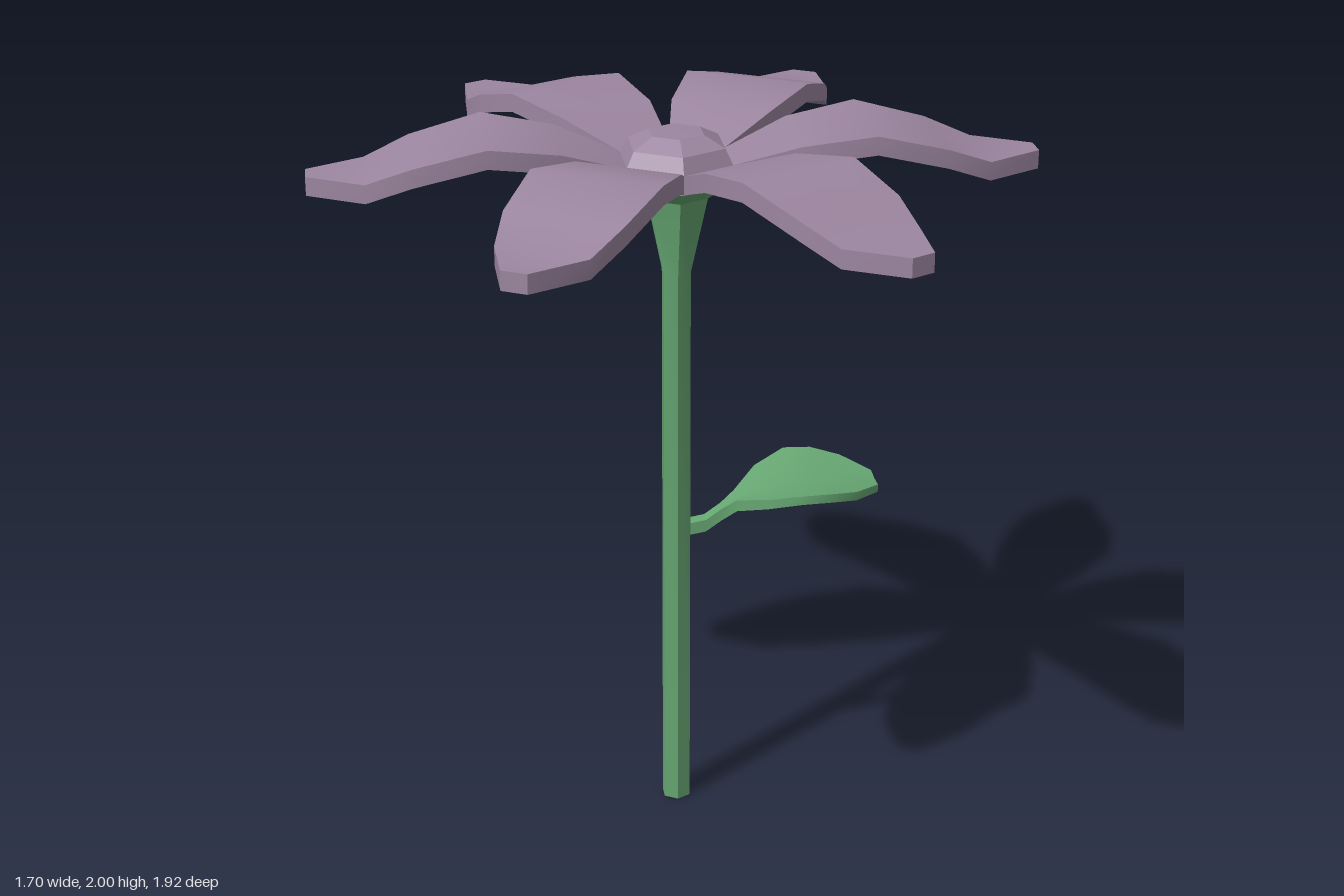
import * as THREE from 'three';
import { toCreasedNormals } from 'three/addons/utils/BufferGeometryUtils.js';

const green = new THREE.MeshStandardMaterial({ color: 0x66a672 });
const mauve = new THREE.MeshStandardMaterial({ color: 0x9c86a0 });

// Closed blade along +x; each section is [distance, half width, top y, thickness, dip of the midline]
function bladeGeometry(sections) {
  const positions = [];
  const index = [];
  for (const [x, w, y, t, dip] of sections) {
    positions.push(
      x, y, -w, x, y - dip, 0, x, y, w,
      x, y - t, w, x, y - dip - t, 0, x, y - t, -w,
    );
  }
  const last = (sections.length - 1) * 6;
  for (let i = 0; i < last; i += 6) {
    for (let j = 0; j < 6; j++) {
      const a = i + j, b = i + (j + 1) % 6;
      index.push(a, b, a + 6, b, b + 6, a + 6);
    }
  }
  // End caps
  for (const [p, q] of [[2, 3], [3, 4], [4, 5], [5, 0]]) {
    index.push(last + 1, last + p, last + q, 1, q, p);
  }
  const geometry = new THREE.BufferGeometry();
  geometry.setAttribute('position', new THREE.Float32BufferAttribute(positions, 3));
  geometry.setIndex(index);
  return toCreasedNormals(geometry, 0.7);
}

// Six-sided turned part with corners on the x axis
function hexLathe(profile, material, name) {
  const points = profile.map(([r, y]) => new THREE.Vector2(r, y));
  const geometry = new THREE.LatheGeometry(points, 6, Math.PI / 6);
  const mesh = new THREE.Mesh(toCreasedNormals(geometry, 0.2), material);
  mesh.name = name;
  return mesh;
}

export function createModel() {
  const flower = new THREE.Group();
  flower.name = 'flower';

  // Stem flaring into the cup under the petals
  flower.add(hexLathe(
    [[0, 0], [0.042, 0], [0.042, 1.6], [0.09, 1.81], [0.155, 1.857], [0, 1.857]],
    green, 'stem',
  ));

  // Faceted centre
  flower.add(hexLathe(
    [[0, 1.856], [0.162, 1.856], [0.162, 1.905], [0.138, 1.95], [0.078, 1.98], [0, 1.983]],
    mauve, 'flowerCentre',
  ));

  // Ring of six arched petals
  const petalGeometry = bladeGeometry([
    [0.13, 0.077, 1.905, 0.05, 0],
    [0.31, 0.145, 1.97, 0.05, 0],
    [0.5, 0.178, 2.0, 0.05, 0],
    [0.69, 0.16, 1.952, 0.05, 0],
    [0.81, 0.125, 1.905, 0.05, 0],
    [0.96, 0.035, 1.905, 0.05, 0],
  ]);
  const petals = new THREE.Group();
  petals.name = 'petals';
  for (let i = 0; i < 6; i++) {
    const petal = new THREE.Mesh(petalGeometry, mauve);
    petal.name = 'petal';
    petal.rotation.y = Math.PI / 6 + i * Math.PI / 3;
    petals.add(petal);
  }
  flower.add(petals);

  // Cupped leaf on a short curved stalk
  const leaf = new THREE.Mesh(bladeGeometry([
    [0.02, 0.02, 0.863, 0.035, 0],
    [0.08, 0.02, 0.873, 0.035, 0],
    [0.125, 0.02, 0.905, 0.035, 0],
    [0.165, 0.035, 0.935, 0.033, 0.005],
    [0.235, 0.12, 0.97, 0.028, 0.025],
    [0.325, 0.17, 0.998, 0.025, 0.03],
    [0.4, 0.165, 0.998, 0.025, 0.025],
    [0.48, 0.13, 0.985, 0.025, 0.015],
    [0.555, 0.05, 0.968, 0.022, 0.003],
  ]), green);
  leaf.name = 'leaf';
  leaf.rotation.y = -Math.PI / 6;
  flower.add(leaf);

  return flower;
}
